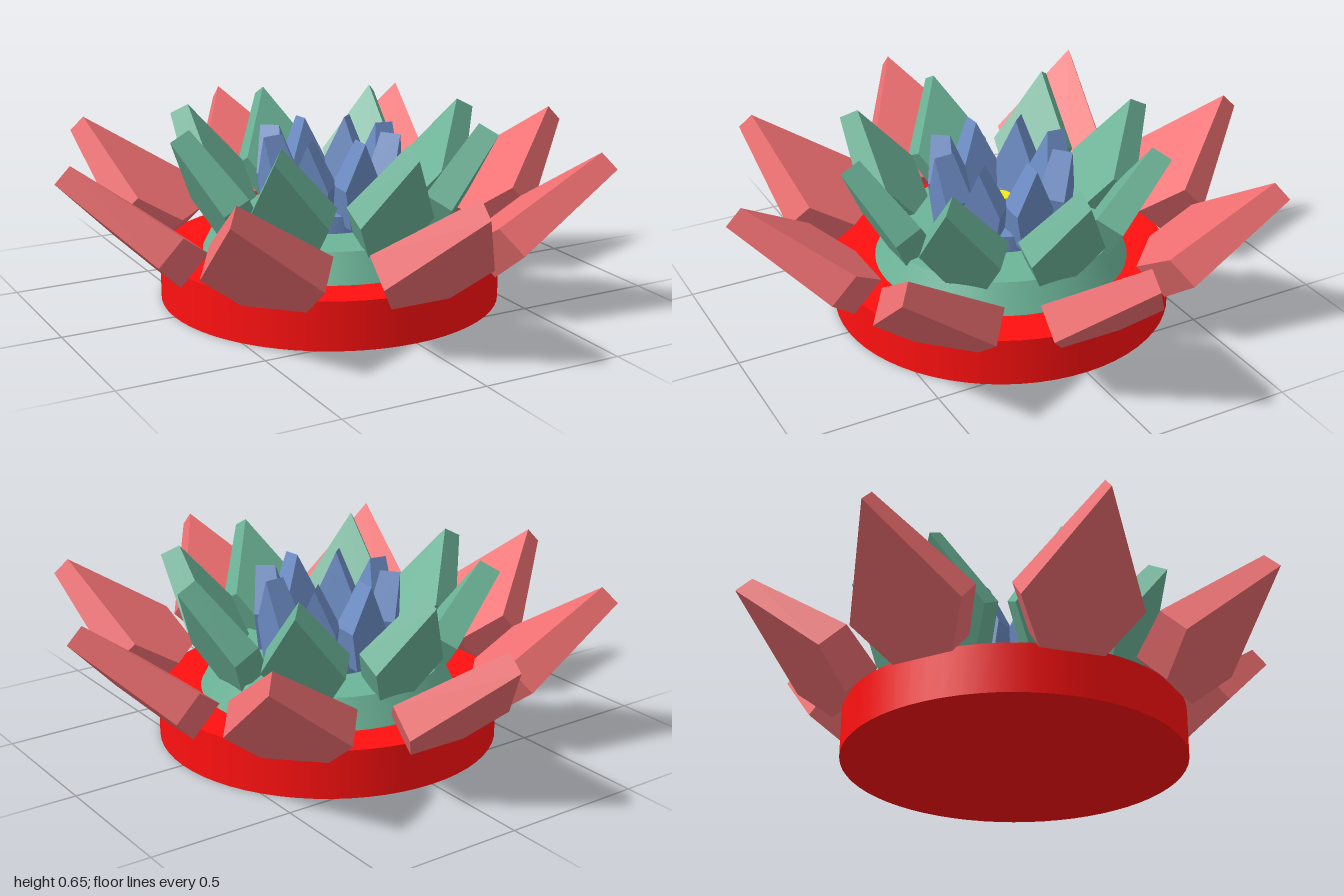
import * as THREE from 'three';

const mat = (color, flatShading = false) => new THREE.MeshStandardMaterial({ color, flatShading });

// Five-sided petal, thicker towards its foot; origin at the tip of its outer face
function petalGeometry({ half, base, wideAt, length, thick, taper }) {
  const shape = new THREE.Shape([
    [0, 0], [-half, -wideAt], [-base, -length], [base, -length], [half, -wideAt],
  ].map(([x, y]) => new THREE.Vector2(x, y)));
  const geometry = new THREE.ExtrudeGeometry(shape, { depth: thick, bevelEnabled: false });
  geometry.translate(0, 0, -thick);
  // Push the inner face inwards in proportion to the distance from the tip
  const p = geometry.attributes.position;
  for (let i = 0; i < p.count; i++) {
    if (p.getZ(i) < -thick / 2) p.setZ(i, -thick + taper * p.getY(i));
  }
  geometry.computeVertexNormals();
  return geometry;
}

// Eight petals around y, each leaning outward by (90 - elevation) degrees
function petalRing(name, spec) {
  const ring = new THREE.Group();
  ring.name = name + 's';
  const geometry = petalGeometry(spec);
  geometry.rotateX(THREE.MathUtils.degToRad(90 - spec.elevation));
  geometry.translate(0, spec.tipY, spec.tipR);
  const material = mat(spec.color, true);
  for (let i = 0; i < 8; i++) {
    const petal = new THREE.Mesh(geometry, material);
    petal.name = name;
    petal.rotation.y = (i * Math.PI) / 4;
    ring.add(petal);
  }
  return ring;
}

// Upright round part between two heights
function disc(name, color, rTop, rBottom, y0, y1, sides = 64) {
  const mesh = new THREE.Mesh(new THREE.CylinderGeometry(rTop, rBottom, y1 - y0, sides), mat(color));
  mesh.name = name;
  mesh.position.y = (y0 + y1) / 2;
  return mesh;
}

export function createModel() {
  const flower = new THREE.Group();
  flower.name = 'flower';

  // Round base and the tiers that carry the petals
  flower.add(disc('base', 0xff1010, 0.6, 0.6, 0, 0.17));
  flower.add(disc('middleTier', 0x6cb498, 0.4, 0.45, 0.17, 0.27));
  flower.add(disc('innerTier', 0x6c8cc4, 0.2, 0.2, 0.27, 0.33));

  // Petal rings, outside to inside
  flower.add(petalRing('outerPetal', {
    color: 0xf07072, half: 0.205, base: 0.11, wideAt: 0.375, length: 0.535, thick: 0.077, taper: 0.13,
    elevation: 45, tipR: 0.997, tipY: 0.52,
  }));
  flower.add(petalRing('middlePetal', {
    color: 0x6cb498, half: 0.14, base: 0.072, wideAt: 0.27, length: 0.41, thick: 0.078, taper: 0.1,
    elevation: 62, tipR: 0.597, tipY: 0.61,
  }));
  flower.add(petalRing('innerPetal', {
    color: 0x6c8cc4, half: 0.07, base: 0.045, wideAt: 0.16, length: 0.3, thick: 0.07, taper: 0.18,
    elevation: 87, tipR: 0.255, tipY: 0.59,
  }));

  // Small studs around the heart
  for (let i = 0; i < 8; i++) {
    const a = ((i + 0.5) * Math.PI) / 4;
    const stud = disc('stud', 0x6c8cc4, 0.016, 0.016, 0.32, 0.36, 12);
    stud.position.x = 0.1 * Math.cos(a);
    stud.position.z = 0.1 * Math.sin(a);
    flower.add(stud);
  }

  // Heart of the flower
  flower.add(disc('heartRing', 0xff1010, 0.057, 0.057, 0.32, 0.37, 32));
  flower.add(disc('heart', 0xf4ec10, 0.035, 0.035, 0.36, 0.39, 32));
  return flower;
}
